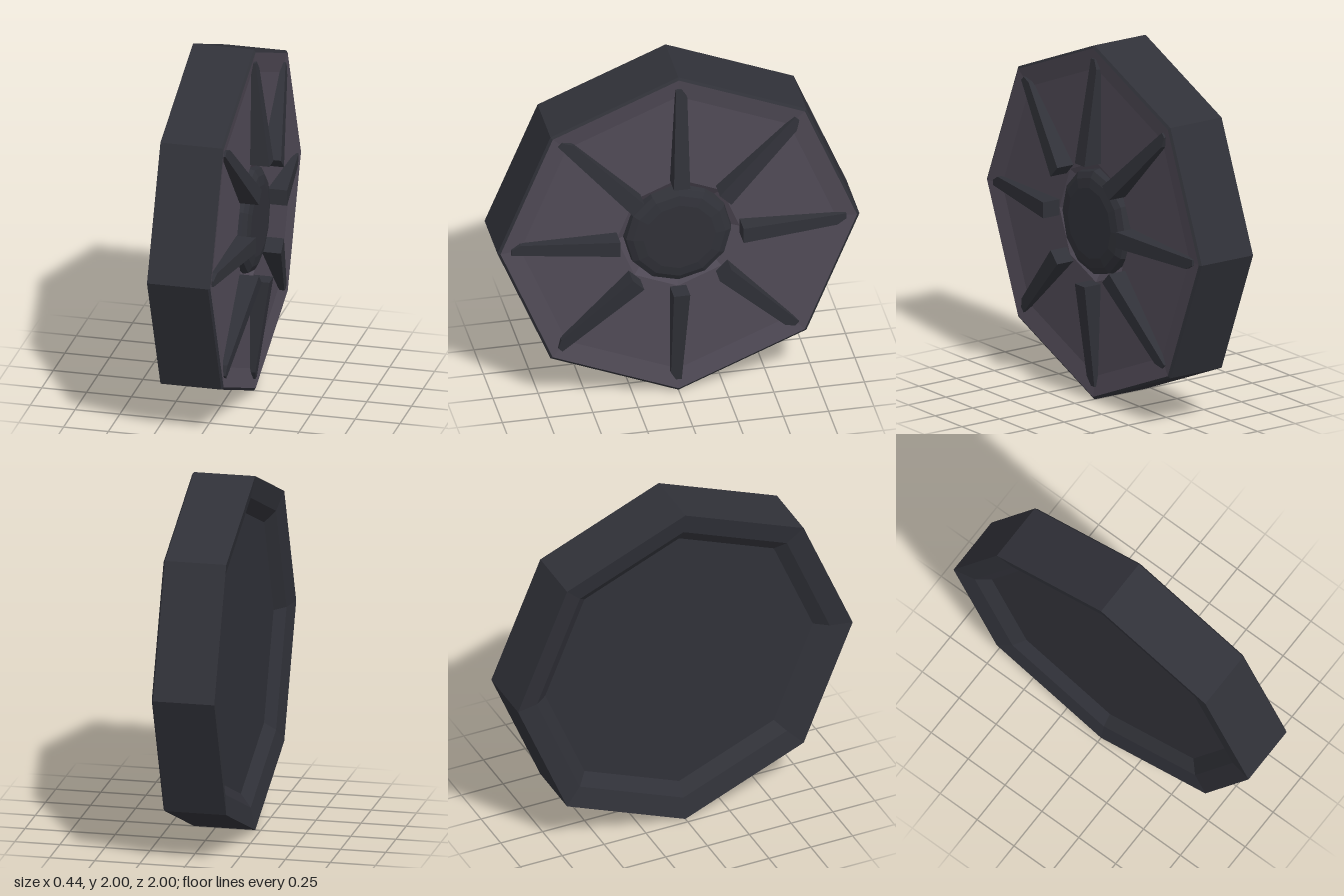
import * as THREE from 'three';

// Faceted ring of revolution around the x axis; profile is [radius, x] pairs from back to front
function turned(profile, sides) {
  const pts = profile.map(([r, x]) => new THREE.Vector2(r, x));
  const g = new THREE.LatheGeometry(pts, sides).rotateZ(-Math.PI / 2).toNonIndexed();
  g.computeVertexNormals();
  return g;
}

// Wedge spoke: pointed plan outline, tall at the hub and thinning toward the rim
function spokeGeometry() {
  const w = 0.045, inner = 0.34, tip = 0.925;
  const plan = new THREE.Shape([
    [-w, inner], [w, inner], [w, 0.875], [0.016, tip], [-0.016, tip],
  ].map(([x, y]) => new THREE.Vector2(x, y)));
  const g = new THREE.ExtrudeGeometry(plan, { depth: 1, bevelEnabled: false });
  const p = g.attributes.position;
  for (let i = 0; i < p.count; i++) {
    const t = (p.getY(i) - inner) / (tip - inner);
    p.setZ(i, p.getZ(i) > 0.5 ? 0.218 - 0.086 * t : 0.08);
  }
  g.rotateY(Math.PI / 2);
  g.computeVertexNormals();
  return g;
}

export function createModel() {
  const model = new THREE.Group();
  model.name = 'wheel';
  const rubber = new THREE.MeshStandardMaterial({ color: 0x303138 });
  rubber.name = 'dark slate';
  const plate = new THREE.MeshStandardMaterial({ color: 0x504a56 });
  plate.name = 'mauve grey';

  const add = (name, geometry, material) => {
    const mesh = new THREE.Mesh(geometry, material);
    mesh.name = name;
    model.add(mesh);
    return mesh;
  };

  // Octagonal tyre with a shallow dished back and a thin front lip
  add('tyre', turned([
    [0, -0.14], [0.8, -0.14], [0.875, -0.195], [1, -0.22], [1, 0.12], [0.985, 0.13],
  ], 8), rubber);

  // Front plate, dipping inside the lip, with a sunken seat for the hub
  add('frontPlate', turned([
    [0.985, 0.13], [0.87, 0.11], [0.34, 0.11], [0.29, 0.08], [0, 0.08],
  ], 8), plate);

  // Faceted hub cap
  add('hubCap', turned([
    [0.3, 0.08], [0.29, 0.125], [0.255, 0.145], [0.2, 0.155], [0, 0.155],
  ], 12), rubber);

  // Eight spokes pointing at the corners
  const spoke = spokeGeometry();
  for (let i = 0; i < 8; i++) {
    add('spoke' + (i + 1), spoke, rubber).rotation.x = i * Math.PI / 4;
  }

  model.children.forEach((m) => { m.position.y = 1; });
  return model;
}
